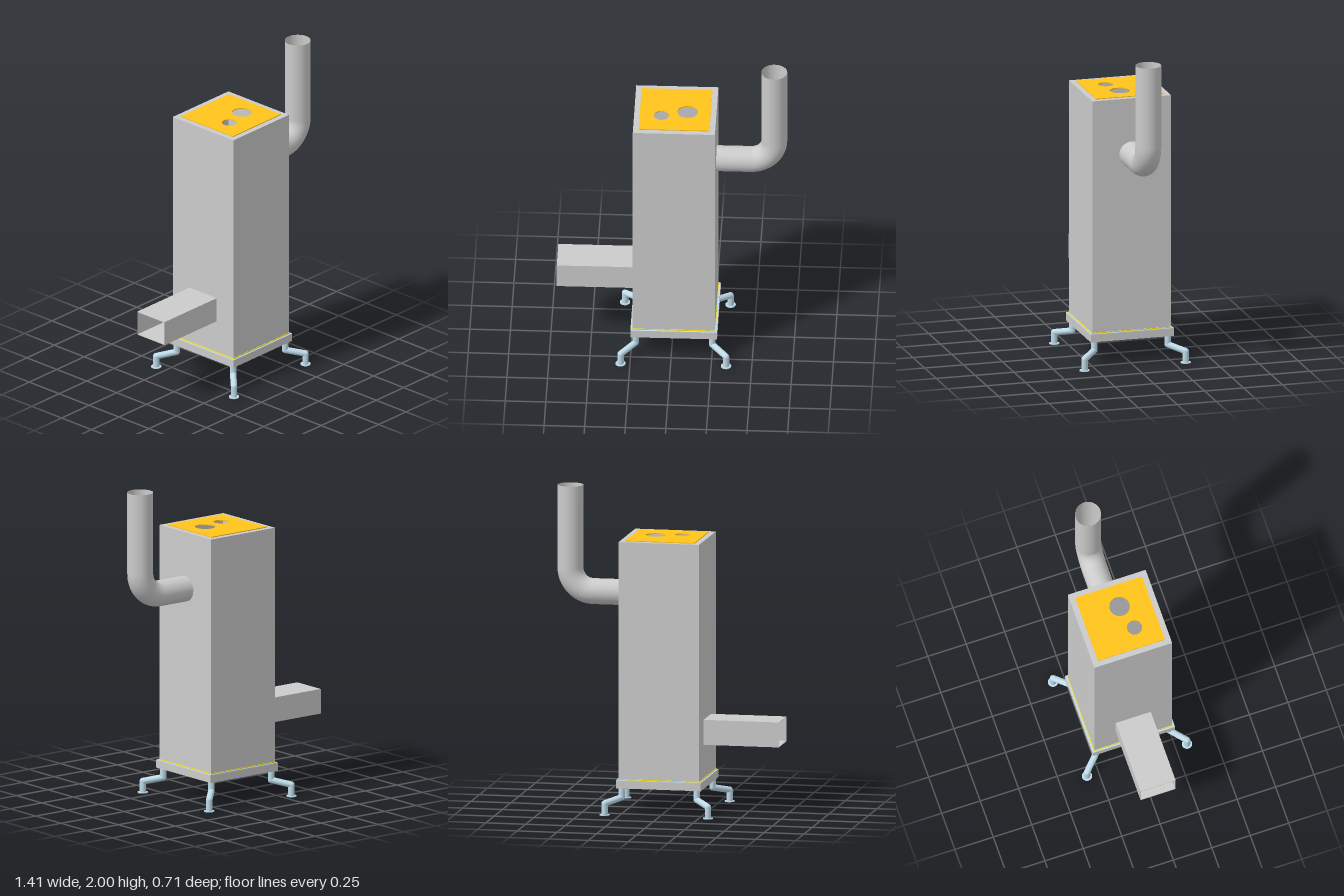
import * as THREE from 'three';

const mat = (color, side = THREE.FrontSide) => new THREE.MeshStandardMaterial({ color, side });
const CX = 0.017; // centre of the body in x

function add(parent, name, geometry, material, x = 0, y = 0, z = 0) {
  const mesh = new THREE.Mesh(geometry, material);
  mesh.name = name;
  mesh.position.set(x, y, z);
  parent.add(mesh);
  return mesh;
}

function rect(hw, hh, Type = THREE.Shape) {
  const s = new Type();
  s.moveTo(-hw, -hh);
  s.lineTo(hw, -hh);
  s.lineTo(hw, hh);
  s.lineTo(-hw, hh);
  s.closePath();
  return s;
}

// Rectangular tube running along z from 0 to depth
function rectTube(hw, hh, wall, depth) {
  const s = rect(hw, hh);
  s.holes.push(rect(hw - wall, hh - wall, THREE.Path));
  return new THREE.ExtrudeGeometry(s, { depth, bevelEnabled: false });
}

// The same tube standing upright from y = 0
const uprightTube = (half, wall, height) => rectTube(half, half, wall, height).rotateX(-Math.PI / 2);

// Round rod between two points
function rod(parent, name, a, b, r, material) {
  const dir = b.clone().sub(a);
  const mesh = add(parent, name, new THREE.CylinderGeometry(r, r, dir.length(), 20), material);
  mesh.position.copy(a).add(b).multiplyScalar(0.5);
  mesh.quaternion.setFromUnitVectors(new THREE.Vector3(0, 1, 0), dir.normalize());
}

export function createModel() {
  const model = new THREE.Group();
  model.name = 'stove';
  const grey = mat(0xcccccc);
  const greyDouble = mat(0xcccccc, THREE.DoubleSide);
  const blue = mat(0xbfdcea);
  const gold = mat(0xffc51a);
  const yellow = mat(0xffe01e);

  // Hollow body with a lip around the top opening
  add(model, 'body', uprightTube(0.253, 0.008, 1.48), grey, CX, 0.215, 0);
  add(model, 'topLip', uprightTube(0.252, 0.045, 0.006), grey, CX, 1.689, 0);

  // Top plate with two round cooking holes
  const top = rect(0.218, 0.217);
  for (const [x, z, r] of [[-0.084, 0.066, 0.047], [0.076, 0.023, 0.063]]) {
    const hole = new THREE.Path();
    hole.absarc(x, -z, r, 0, Math.PI * 2, true);
    top.holes.push(hole);
  }
  const topGeo = new THREE.ExtrudeGeometry(top, { depth: 0.006, bevelEnabled: false, curveSegments: 24 });
  add(model, 'topPlate', topGeo.rotateX(-Math.PI / 2), gold, CX, 1.694, 0);

  // Floor plate on an angle-iron frame
  add(model, 'floorPlate', new THREE.BoxGeometry(0.514, 0.008, 0.514), yellow, CX, 0.213, 0);
  add(model, 'frameSkirt', uprightTube(0.267, 0.006, 0.047), grey, CX, 0.16, 0);
  add(model, 'frameFlange', uprightTube(0.267, 0.048, 0.005), blue, CX, 0.206, 0);

  // Rectangular feed duct, open at its outer end
  add(model, 'feedDuct', rectTube(0.114, 0.078, 0.004, 0.475).rotateY(-Math.PI / 2), grey, -0.235, 0.502, 0);

  // Flue: straight run, quarter bend, straight rise
  const R = 0.145, y0 = 1.34, bendX = 0.48;
  const outline = new THREE.CurvePath();
  const v = (x, y, z = 0) => new THREE.Vector3(x, y, z);
  const flue = new THREE.Group();
  flue.name = 'flue';
  model.add(flue);
  const r = 0.08;
  const run = new THREE.CylinderGeometry(r, r, bendX - 0.268, 40, 1, true).rotateZ(Math.PI / 2);
  add(flue, 'flueRun', run, greyDouble, (bendX + 0.268) / 2, y0, 0);
  const bend = new THREE.TorusGeometry(R, r, 40, 24, Math.PI / 2).rotateZ(-Math.PI / 2);
  add(flue, 'flueBend', bend, greyDouble, bendX, y0 + R, 0);
  const rise = 2 - y0 - R;
  add(flue, 'flueRise', new THREE.CylinderGeometry(r, r, rise, 40, 1, true), greyDouble, bendX + R, 2 - rise / 2, 0);

  // Four cranked legs splayed along the diagonals
  for (const sx of [-1, 1]) for (const sz of [-1, 1]) {
    const leg = new THREE.Group();
    leg.name = `${sz > 0 ? 'front' : 'back'}${sx > 0 ? 'Left' : 'Right'}Leg`;
    leg.position.x = CX;
    model.add(leg);
    const p = (d, y) => v(sx * d, y, sz * d);
    const rr = 0.02;
    const pts = [p(0.236, 0.206), p(0.236, 0.1), p(0.325, 0.073), p(0.325, 0.003)];
    for (let i = 0; i < 3; i++) rod(leg, 'legRod', pts[i], pts[i + 1], rr, blue);
    for (const q of [pts[1], pts[2]]) add(leg, 'legJoint', new THREE.SphereGeometry(rr, 20, 12), blue, q.x, q.y, q.z);
    add(leg, 'foot', new THREE.CylinderGeometry(0.032, 0.032, 0.005, 24), blue, sx * 0.325, 0.0025, sz * 0.325);
  }
  return model;
}
